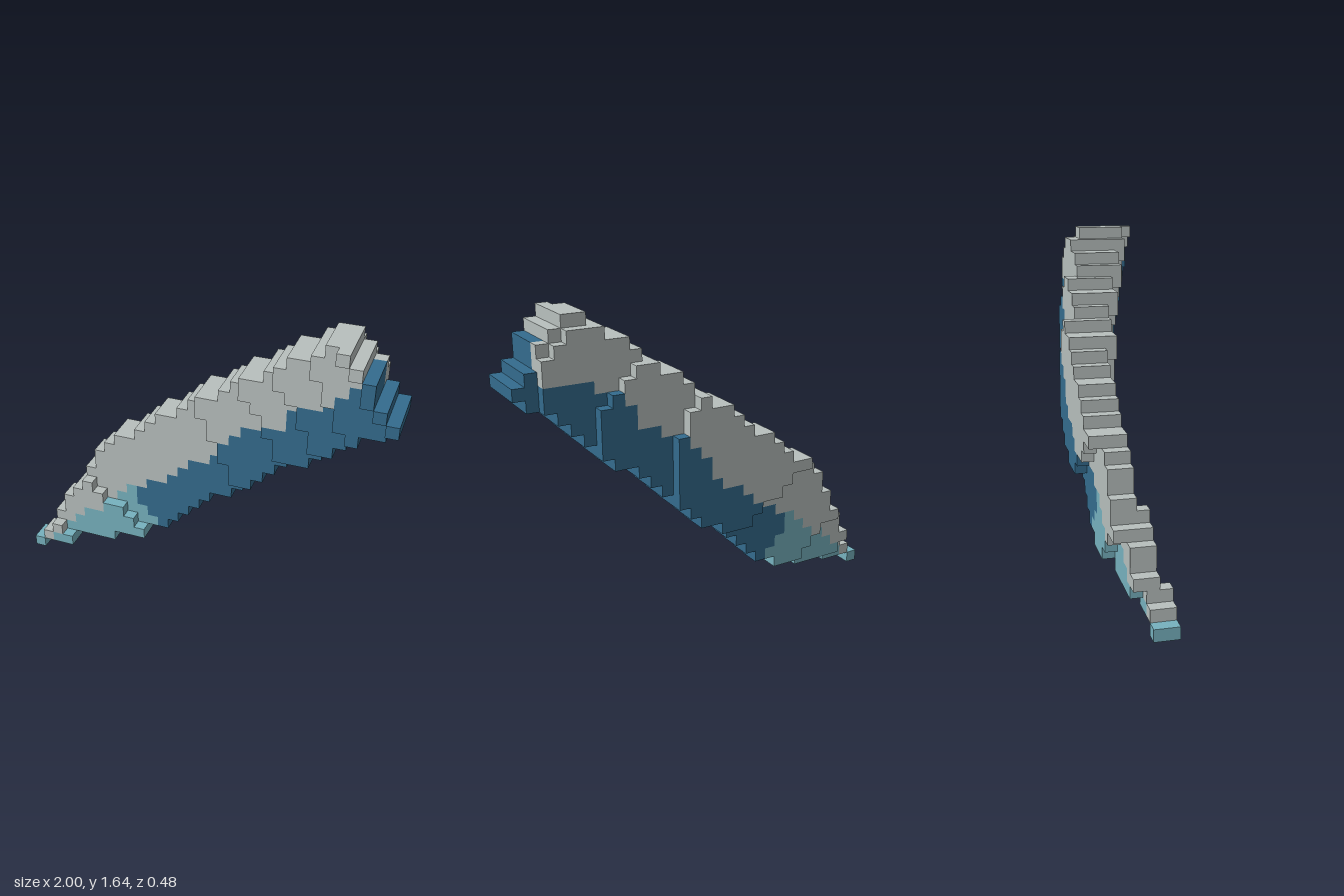
import * as THREE from 'three';
import { mergeGeometries } from 'three/addons/utils/BufferGeometryUtils.js';

const U = 2 / 33; // block size
const HEIGHT = 27;

// Per row, bottom to top: first block, start of tip colour, start of lower colour, end
const ROWS = [
  [0, 0, 1, 1], [1, 2, 4, 4], [2, 3, 8, 8], [2, 4, 11, 11], [3, 5, 12, 13],
  [3, 7, 11, 14], [4, 8, 10, 15], [5, 9, 10, 16], [5, 11, 11, 17], [6, 13, 13, 19],
  [6, 14, 14, 20], [7, 15, 15, 21], [8, 17, 17, 22], [10, 18, 18, 23], [11, 18, 18, 24],
  [12, 19, 19, 26], [14, 20, 20, 27], [15, 22, 22, 28], [16, 24, 24, 29], [18, 24, 24, 30],
  [19, 25, 25, 32], [20, 27, 27, 33], [22, 28, 28, 32], [23, 29, 29, 31], [24, 30, 30, 31],
  [26, 30, 30, 30], [27, 29, 29, 29],
];

// Slanted lines (offset, slope) at which the front steps one block forward
const FRONT_STEPS = [[24.5, 0.5], [31.4, 0.57], [35.5, 0.57], [38, 0.5], [44.8, 0.65]];

function frontOf(x, r) {
  if (x < 5 - r) return 1;
  if (x < 11 - 1.35 * (r - 3)) return 0;
  return -1 + FRONT_STEPS.filter(([a, m]) => x >= a - m * r).length;
}

function backOf(x, r) {
  if (r >= 8 && r < 20 && x >= 8 + 1.5 * (12 - r) && x < Math.min(21, 28.5 - 0.5 * r)) return -4;
  if (r >= 3 && r < 23 && x >= 4 + 1.25 * (6 - r) && x < Math.min(27, 46 - r)) return -3;
  if (r >= 1 && r < 26 && x >= 2 + 0.6 * (3 - r) && x < Math.min(31, 54 - r)) return -2;
  return -1;
}

function filled(x, r, k) {
  if (r < 0 || r >= HEIGHT) return false;
  const [start, , , end] = ROWS[r];
  return x >= start && x < end && k >= backOf(x, r) && k < frontOf(x, r);
}

// 0 upper band, 1 tip, 2 lower band
function bandOf(x, r, k) {
  const [, tip, lower] = ROWS[r];
  if (x < tip || (k < 0 && r >= 23) || (k < -1 && r >= 22)) return 0;
  return x < lower ? 1 : 2;
}

// Block side: neighbour direction and the turn that makes a plane face it
const Q = Math.PI / 2;
const SIDES = [
  [1, 0, 0, 0, Q], [-1, 0, 0, 0, -Q], [0, 1, 0, -Q, 0],
  [0, -1, 0, Q, 0], [0, 0, 1, 0, 0], [0, 0, -1, 0, 2 * Q],
];

export function createModel() {
  const group = new THREE.Group();
  group.name = 'curvedWing';
  const faces = [[], [], []];

  // Only the exposed sides of the blocks are built
  for (let r = 0; r < HEIGHT; r++) {
    for (let x = ROWS[r][0]; x < ROWS[r][3]; x++) {
      for (let k = backOf(x, r); k < frontOf(x, r); k++) {
        for (const [dx, dy, dz, turnX, turnY] of SIDES) {
          if (filled(x + dx, r + dy, k + dz)) continue;
          const face = new THREE.PlaneGeometry(U, U).rotateX(turnX).rotateY(turnY);
          face.translate(
            (x + 0.5 + dx / 2) * U - 1,
            (r + 0.5 + dy / 2) * U,
            (k + 0.5 + dz / 2) * U,
          );
          faces[bandOf(x, r, k)].push(face);
        }
      }
    }
  }

  // One mesh per coloured band
  const bands = [
    ['upperBand', 'paleGrey', 0xb8c0be],
    ['tipPatch', 'paleTeal', 0x77b2bf],
    ['lowerBand', 'deepBlue', 0x346c8e],
  ];
  bands.forEach(([name, colourName, color], i) => {
    const material = new THREE.MeshStandardMaterial({ color });
    material.name = colourName;
    const mesh = new THREE.Mesh(mergeGeometries(faces[i]), material);
    mesh.name = name;
    group.add(mesh);
  });
  return group;
}
